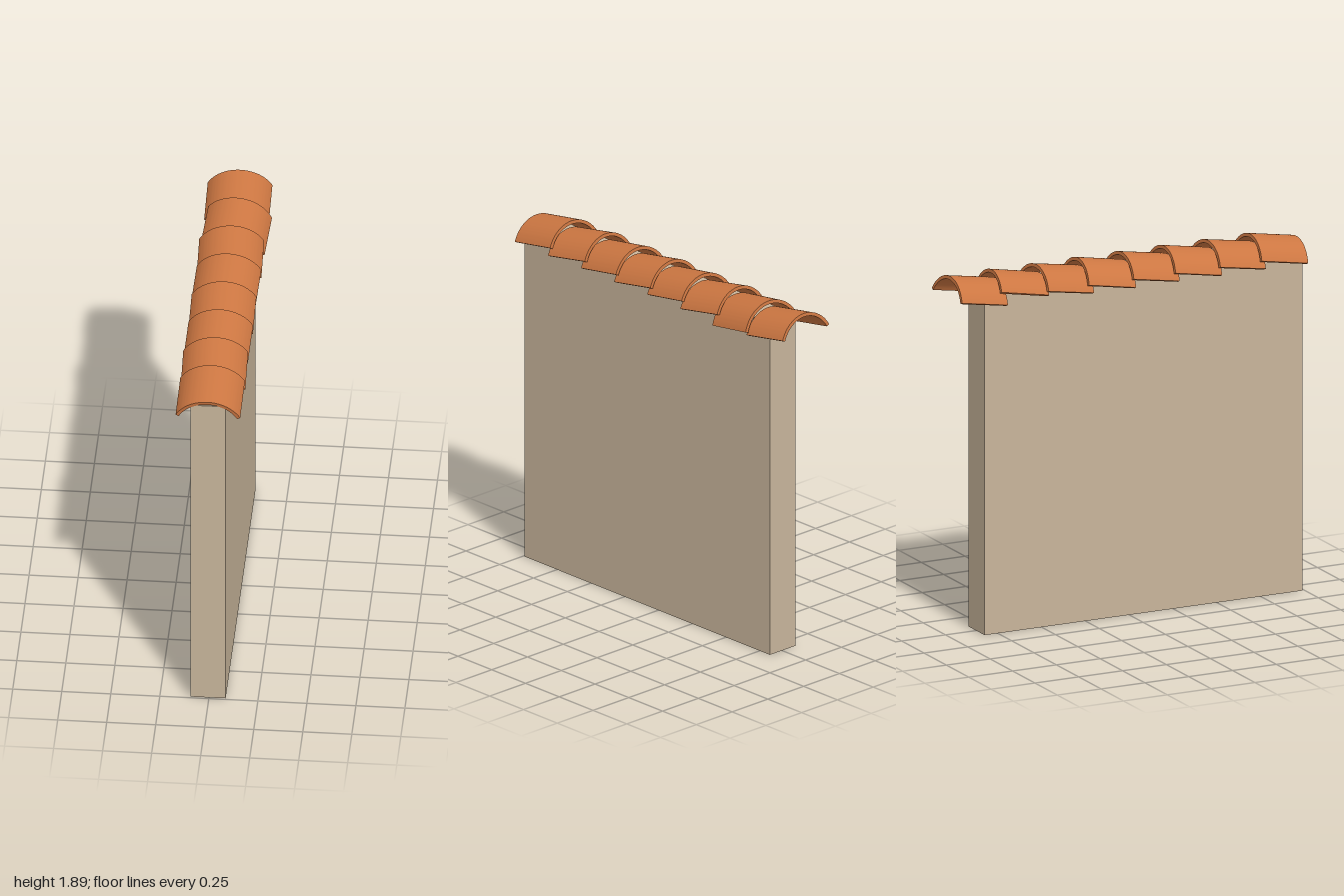
import * as THREE from 'three';
import { toCreasedNormals } from 'three/addons/utils/BufferGeometryUtils.js';

const deg = THREE.MathUtils.degToRad;
const OUTER = 0.185, INNER = 0.167, LENGTH = 0.267;

// Curved tile: an arc band around the z axis, extruded along it
function tileGeometry() {
  const start = deg(27), end = deg(153);
  const shape = new THREE.Shape();
  shape.absarc(0, 0, OUTER, start, end, false);
  shape.absarc(0, 0, INNER, end, start, true);
  shape.closePath();
  const geometry = new THREE.ExtrudeGeometry(shape, { depth: LENGTH, bevelEnabled: false, curveSegments: 24 });
  geometry.translate(0, 0, -LENGTH / 2);
  return toCreasedNormals(geometry, 0.5);
}

export function createModel() {
  const model = new THREE.Group();
  const plaster = new THREE.MeshStandardMaterial({ color: 0xc8b59b });
  const terracotta = new THREE.MeshStandardMaterial({ color: 0xcd7742 });

  // Wall, stopping short of the last tile
  const wall = new THREE.Mesh(new THREE.BoxGeometry(0.18, 1.82, 1.815), plaster);
  wall.name = 'wall';
  wall.position.set(-0.005, 0.91, 0.0825);
  model.add(wall);

  // Row of tilted ridge tiles, each laid slightly askew; one has slipped sideways
  const tiles = new THREE.Group();
  tiles.name = 'ridgeTiles';
  const geometry = tileGeometry();
  const yaws = [-0.5, 1.8, -1, 0.8, -1.8, 1.8, -3.5, 0.8];
  yaws.forEach((yaw, i) => {
    const slipped = i === 6;
    const tile = new THREE.Mesh(geometry, terracotta);
    tile.name = 'ridgeTile' + (i + 1);
    tile.position.set(-0.005, 1.69, 0.838 - i * 0.245);
    tile.rotation.set(deg(9.5), deg(yaw), deg(slipped ? -8 : 0), 'YXZ');
    tiles.add(tile);
  });
  model.add(tiles);

  return model;
}
